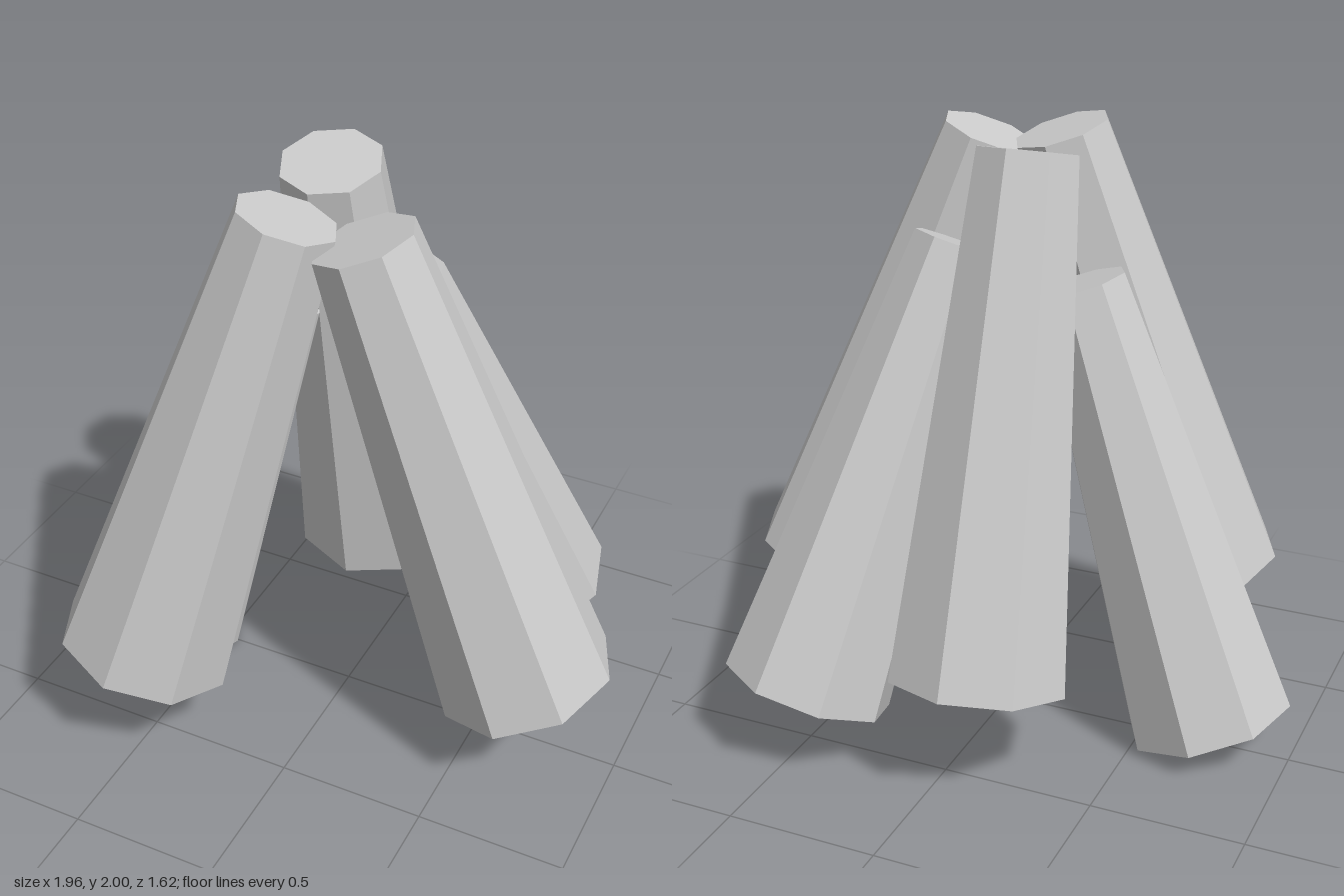
import * as THREE from 'three';

// Each log: centre of the narrow top, centre of the wide base, the two radii, twist in degrees
const LOGS = [
  { name: 'backLog', top: [-0.115, 1.965, -0.115], base: [-0.115, 0.37, -0.5], r: [0.165, 0.295], twist: 0 },
  { name: 'backLeftLog', top: [0.135, 1.64, -0.065], base: [0.467, 0.242, -0.553], r: [0.15, 0.28], twist: -10 },
  { name: 'leftLog', top: [0.16, 1.93, 0.232], base: [0.7, 0.39, 0.112], r: [0.163, 0.297], twist: 0 },
  { name: 'frontRightLog', top: [-0.075, 1.955, 0.25], base: [-0.5, 0.39, 0.517], r: [0.16, 0.295], twist: 2 },
  { name: 'rightLog', top: [-0.245, 1.54, 0.003], base: [-0.718, 0.095, 0.026], r: [0.147, 0.28], twist: 4 },
];
const SIDES = 8;

const material = new THREE.MeshStandardMaterial({
  color: 0xcccccc, flatShading: true, side: THREE.DoubleSide,
});

// Tapered eight-sided log, closed at the top and hollow underneath
function makeLog({ name, top, base, r, twist }) {
  const a = new THREE.Vector3(...base);
  const b = new THREE.Vector3(...top);
  const axis = b.clone().sub(a);
  const length = axis.length();
  const spin = THREE.MathUtils.degToRad(twist);

  const log = new THREE.Group();
  log.name = name;

  const bark = new THREE.Mesh(
    new THREE.CylinderGeometry(r[0], r[1], length, SIDES, 1, true).rotateY(spin), material);
  bark.name = 'bark';

  const end = new THREE.Mesh(
    new THREE.CircleGeometry(r[0], SIDES).rotateX(-Math.PI / 2).rotateY(spin), material);
  end.name = 'topEnd';
  end.position.y = length / 2;

  log.add(bark, end);
  log.position.copy(a).add(b).multiplyScalar(0.5);
  log.quaternion.setFromUnitVectors(new THREE.Vector3(0, 1, 0), axis.normalize());
  return log;
}

export function createModel() {
  const model = new THREE.Group();
  model.name = 'leaningLogPile';
  LOGS.forEach((spec) => model.add(makeLog(spec)));
  return model;
}
